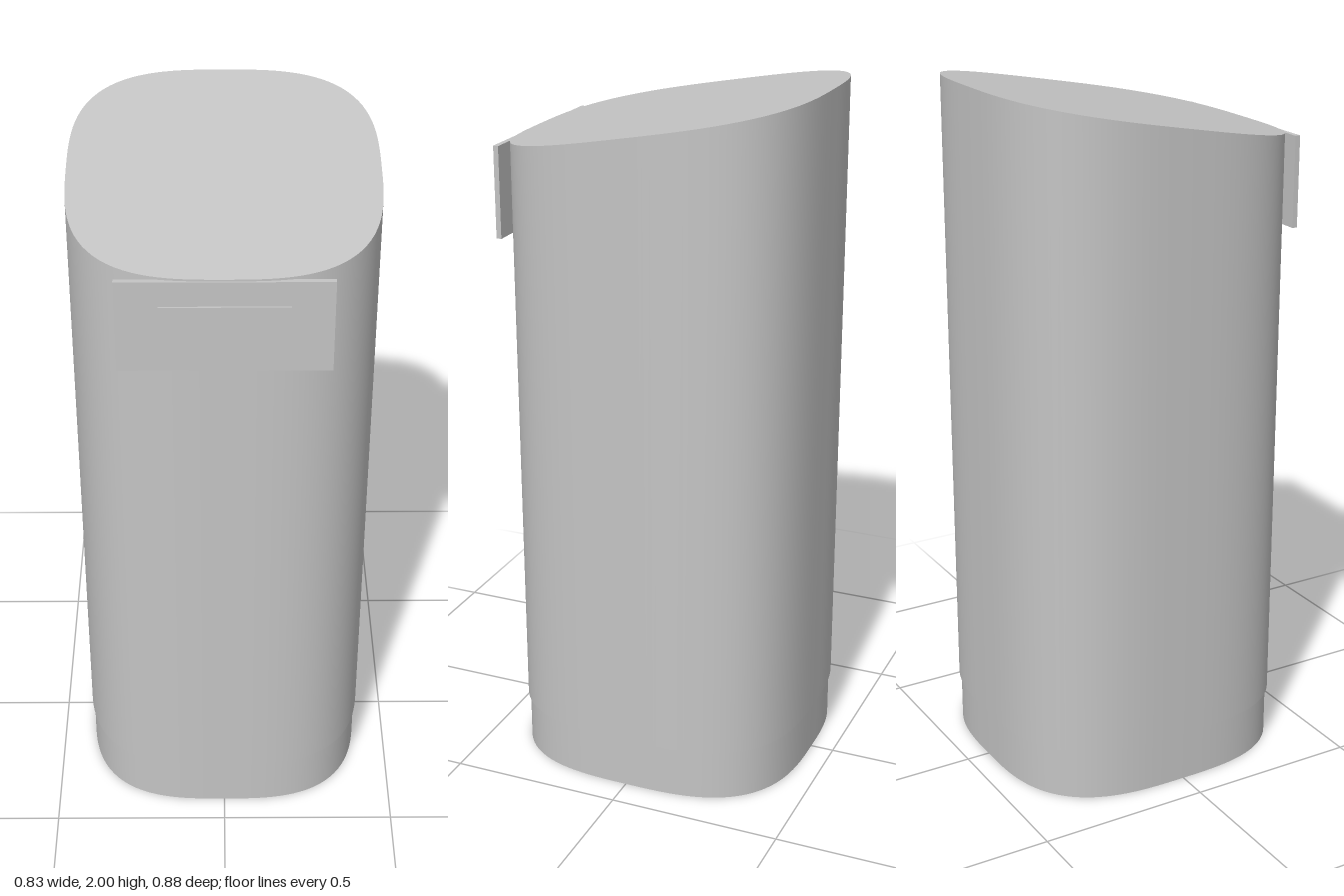
import * as THREE from 'three';

const shell = new THREE.MeshStandardMaterial({ color: 0xc4c4c4 });
shell.name = 'light grey';

const CENTRE_Z = -0.005;
const POWER = 3;

// Height of the slanted lid: low at the front, high at the back
const lidHeight = (z) => THREE.MathUtils.mapLinear(z, 0.428, -0.438, 1.835, 2);

// Upright column with a superellipse outline, its top following topAt(z)
function column(name, halfX, halfZ, bottom, topAt) {
  const geo = new THREE.CylinderGeometry(1, 1, 1, 128, 1);
  const pos = geo.attributes.position;
  const sideCount = 129 * 2;
  for (let i = 0; i < pos.count; i++) {
    const u = pos.getX(i), v = pos.getZ(i);
    const sum = Math.abs(u) ** POWER + Math.abs(v) ** POWER;
    const k = sum > 1e-9 ? sum ** (-1 / POWER) : 0;
    const z = v * k * halfZ + CENTRE_Z;
    pos.setXYZ(i, u * k * halfX, pos.getY(i) > 0 ? topAt(z) : bottom, z);
  }
  geo.computeVertexNormals();
  // Smooth, seamless normals around the wall
  const n = new THREE.Vector3();
  for (let i = 0; i < sideCount; i++) {
    const a = pos.getX(i) / halfX, b = (pos.getZ(i) - CENTRE_Z) / halfZ;
    n.set(a * Math.abs(a) / halfX, 0, b * Math.abs(b) / halfZ).normalize();
    geo.attributes.normal.setXYZ(i, n.x, n.y, n.z);
  }
  const mesh = new THREE.Mesh(geo, shell);
  mesh.name = name;
  return mesh;
}

// Upright plate between two depths
function plate(name, width, height, y, back, front) {
  const mesh = new THREE.Mesh(new THREE.BoxGeometry(width, height, front - back), shell);
  mesh.position.set(0, y, (front + back) / 2);
  mesh.name = name;
  return mesh;
}

export function createModel() {
  const model = new THREE.Group();
  model.name = 'slantTopBin';
  model.add(
    column('base', 0.409, 0.427, 0, () => 0.16),
    column('body', 0.415, 0.433, 0.152, lidHeight),
    plate('frontPanel', 0.554, 0.26, 1.7, 0.417, 0.432),
    plate('panelInset', 0.334, 0.12, 1.7, 0.43, 0.437),
  );
  return model;
}
